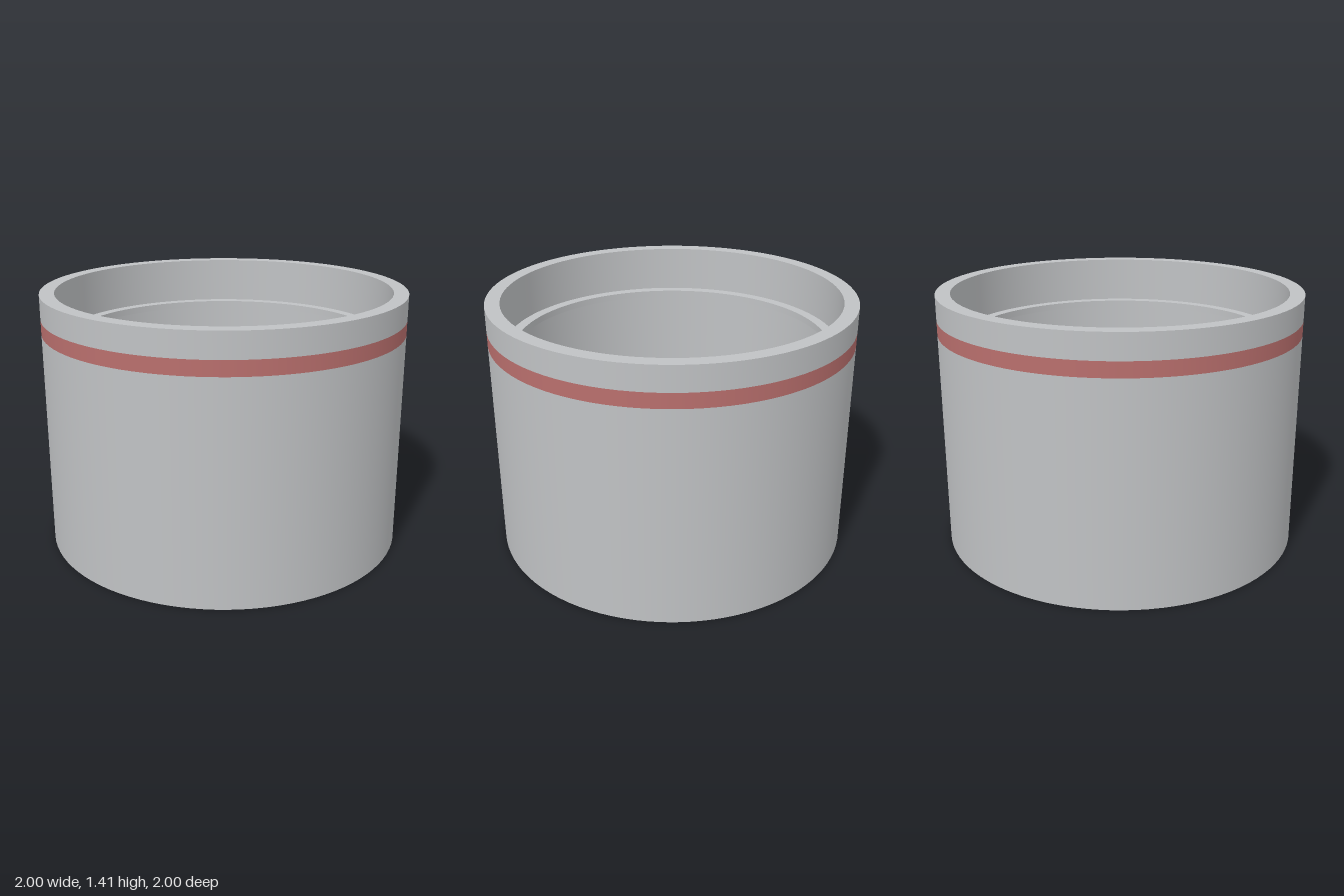
import * as THREE from 'three';
import { mergeGeometries } from 'three/addons/utils/BufferGeometryUtils.js';

const SEGMENTS = 96;
const OUTER = 1, INNER = 0.92, LIP = 0.86;
const HEIGHT = 1.415, BAND_LOW = 1.2, BAND_HIGH = 1.28;
const LEDGE_LOW = 1.12, LEDGE_HIGH = 1.158;

// Revolve each straight run of a profile on its own, so corners stay sharp
function revolve(profile) {
  const runs = [];
  for (let i = 0; i < profile.length - 1; i++) {
    const ends = [profile[i], profile[i + 1]].map(([r, y]) => new THREE.Vector2(r, y));
    runs.push(new THREE.LatheGeometry(ends, SEGMENTS));
  }
  return mergeGeometries(runs);
}

export function createModel() {
  const grey = new THREE.MeshStandardMaterial({ color: 0xc0c2c4 });
  grey.name = 'greyMetal';
  const red = new THREE.MeshStandardMaterial({ color: 0xb96f6d });
  red.name = 'redBand';

  const group = new THREE.Group();
  group.name = 'sleeve';
  const add = (name, material, profile) => {
    const mesh = new THREE.Mesh(revolve(profile), material);
    mesh.name = name;
    group.add(mesh);
  };

  // Outer wall below the band, with the bottom rim
  add('lowerWall', grey, [[INNER, 0], [OUTER, 0], [OUTER, BAND_LOW]]);
  // Painted band around the outside
  add('band', red, [[OUTER, BAND_LOW], [OUTER, BAND_HIGH]]);
  // Outer wall above the band, top rim and upper bore
  add('upperWall', grey, [[OUTER, BAND_HIGH], [OUTER, HEIGHT], [INNER, HEIGHT], [INNER, LEDGE_HIGH]]);
  // Thin ledge inside the bore
  add('innerLedge', grey, [[INNER, LEDGE_HIGH], [LIP, LEDGE_HIGH], [LIP, LEDGE_LOW], [INNER, LEDGE_LOW]]);
  // Bore below the ledge
  add('lowerBore', grey, [[INNER, LEDGE_LOW], [INNER, 0]]);

  return group;
}
